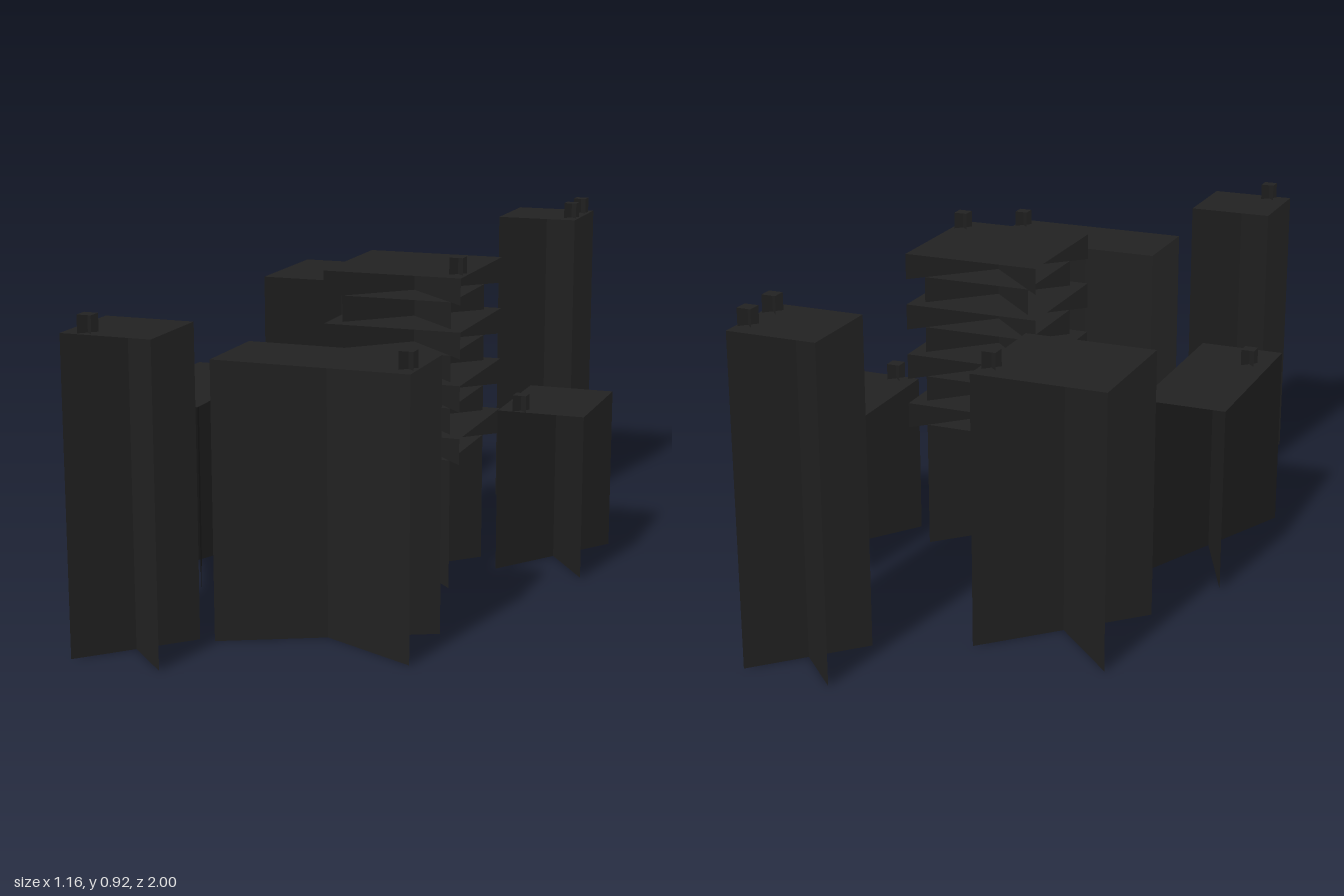
import * as THREE from 'three';

const charcoal = new THREE.MeshStandardMaterial({ color: 0x222222, side: THREE.DoubleSide });
charcoal.name = 'charcoal';

// One storey block: a flat roof carried by two upright walls crossing on the diagonals
function crossBlock(name, x0, x1, z0, z1, y0, y1) {
  const block = new THREE.Group();
  block.name = name;
  const w = x1 - x0, d = z1 - z0, h = y1 - y0;
  const roof = new THREE.Mesh(new THREE.PlaneGeometry(w, d), charcoal);
  roof.name = 'roof';
  roof.rotation.x = -Math.PI / 2;
  roof.position.y = h;
  block.add(roof);
  for (const side of [-1, 1]) {
    const wall = new THREE.Mesh(new THREE.PlaneGeometry(Math.hypot(w, d), h), charcoal);
    wall.name = 'diagonalWall';
    wall.rotation.y = side * Math.atan2(d, w);
    wall.position.y = h / 2;
    block.add(wall);
  }
  block.position.set((x0 + x1) / 2, y0, (z0 + z1) / 2);
  return block;
}

// Small rooftop unit
function roofUnit(x, z, y) {
  const r = 0.0185;
  return crossBlock('roofUnit', x - r, x + r, z - r, z + r, y, y + 0.045);
}

// Plain buildings: name, x range, z range, height, rooftop unit positions
const buildings = [
  ['backTower', 0.125, 0.36, -1, -0.765, 0.875, [[0.335, -0.94], [0.335, -0.825]]],
  ['backBlock', -0.465, -0.11, -0.67, -0.325, 0.727, [[-0.14, -0.607]]],
  ['leftBlock', 0.34, 0.58, -0.37, -0.035, 0.45, [[0.4, -0.055]]],
  ['rightBlock', -0.58, -0.345, -0.105, 0.42, 0.505, [[-0.523, 0.29]]],
  ['frontBlock', -0.15, 0.36, 0.525, 0.765, 0.715, [[0.335, 0.705]]],
  ['frontTower', -0.425, -0.19, 0.765, 1, 0.805, [[-0.365, 0.973]]],
];

export function createModel() {
  const city = new THREE.Group();
  city.name = 'cityBlock';

  for (const [name, x0, x1, z0, z1, h, units] of buildings) {
    city.add(crossBlock(name, x0, x1, z0, z1, 0, h));
    for (const [x, z] of units) city.add(roofUnit(x, z, h));
  }

  // Central tower: plain base, then wide and narrow storeys in turn
  const tower = new THREE.Group();
  tower.name = 'steppedTower';
  const top = 0.85, storey = top / 12, baseStoreys = 5;
  const level = (name, inset, y0, y1) =>
    tower.add(crossBlock(name, -0.07 + inset, 0.308 - inset, -0.165 + inset, 0.211 - inset, y0, y1));
  level('base', 0.038, 0, baseStoreys * storey);
  for (let i = baseStoreys; i < 12; i++) {
    const wide = (i - baseStoreys) % 2 === 0;
    level(wide ? 'wideStorey' : 'narrowStorey', wide ? 0 : 0.038, i * storey, (i + 1) * storey);
  }
  tower.add(roofUnit(0.28, 0.145, top));
  city.add(tower);

  return city;
}
